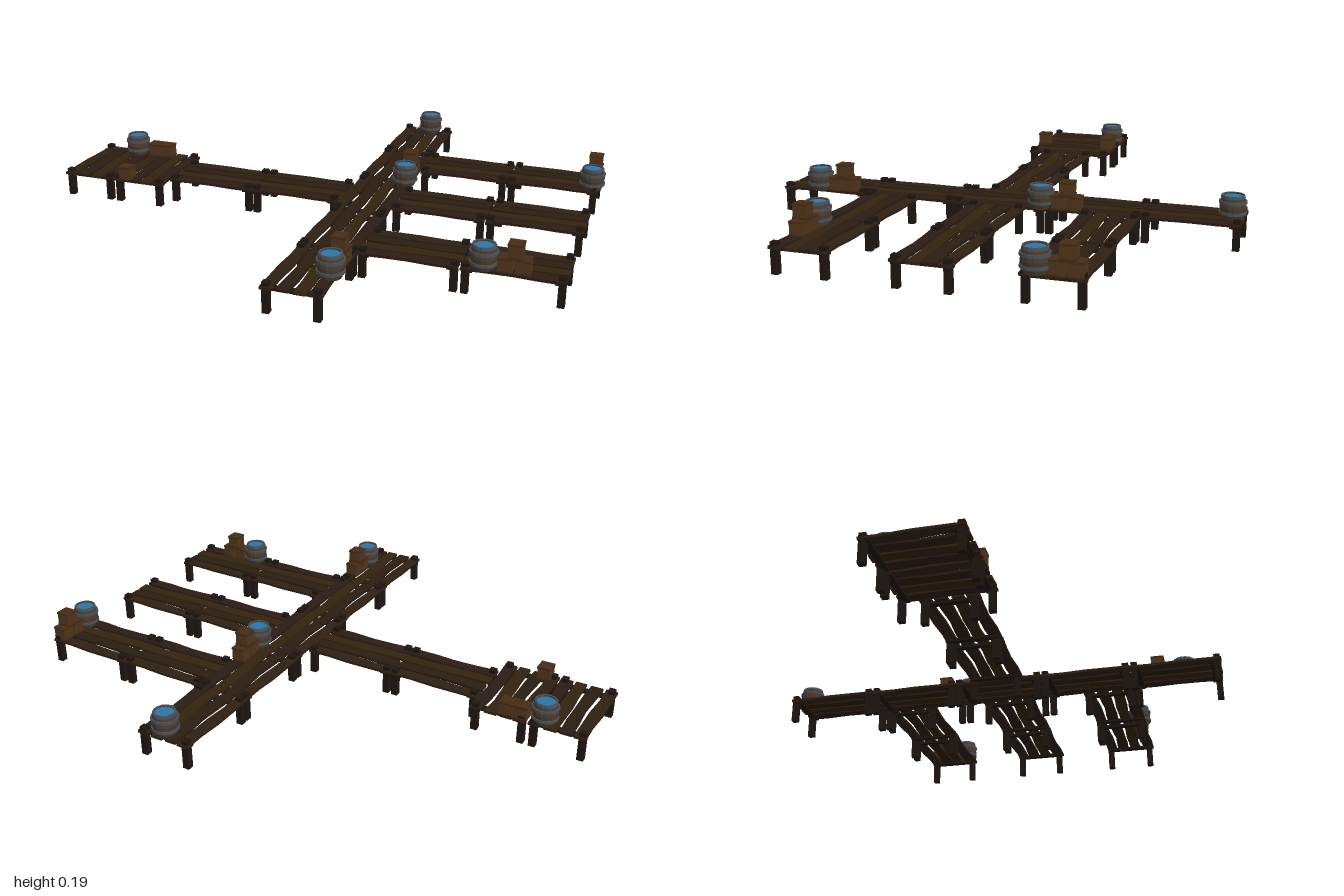
import * as THREE from 'three';

const mat = (color, extra = {}) => new THREE.MeshStandardMaterial({ color, flatShading: true, ...extra });
const plankMats = [mat(0x2f2012), mat(0x2a1c11), mat(0x33230f), mat(0x2c1c14)];
const postMat = mat(0x1e1611);
const crateMat = mat(0x50351b);
const crateTrimMat = mat(0x452c15);
const staveMat = mat(0x4b3a2b, { side: THREE.DoubleSide });
const bandMat = mat(0x46505a);
const waterMat = mat(0x2b75a6);

function add(parent, name, geometry, material, x = 0, y = 0, z = 0) {
  const mesh = new THREE.Mesh(geometry, material);
  mesh.name = name;
  mesh.position.set(x, y, z);
  parent.add(mesh);
  return mesh;
}

// Plank running along x, with slightly crooked long edges
function plankGeometry(length, width, phase) {
  const g = new THREE.BoxGeometry(length, 0.009, width, 4, 1, 1);
  const p = g.attributes.position;
  for (let i = 0; i < p.count; i++) {
    const t = p.getX(i) / length;
    const side = Math.sign(p.getZ(i));
    p.setZ(i, p.getZ(i) + 0.003 * Math.sin(t * 5 + phase) + side * 0.002 * Math.cos(t * 9 + phase * 2));
  }
  g.computeVertexNormals();
  return g;
}

const planks = [0, 1, 2, 3].map(i => plankGeometry(0.336 - 0.004 * (i % 2), 0.042, i * 1.7));
const postGeo = new THREE.BoxGeometry(0.023, 0.105, 0.023);
const beamGeo = new THREE.BoxGeometry(0.022, 0.01, 0.19);

// One deck section: four planks, two cross beams, four posts
function dockSection(x, z, alongZ) {
  const g = new THREE.Group();
  g.name = 'dockSection';
  planks.forEach((geo, i) => {
    add(g, 'plank', geo, plankMats[i], 0, 0.087, -0.079 + i * 0.0527);
  });
  for (const sx of [-1, 1]) {
    add(g, 'crossBeam', beamGeo, postMat, sx * 0.14, 0.08, 0);
    for (const sz of [-1, 1]) add(g, 'post', postGeo, postMat, sx * 0.152, 0.0525, sz * 0.084);
  }
  g.position.set(x, 0, z);
  if (alongZ) g.rotation.y = Math.PI / 2;
  return g;
}

// Open water barrel with bulging staves and two raised hoops
const staveGeo = new THREE.LatheGeometry([
  [0.001, 0], [0.036, 0], [0.042, 0.02], [0.045, 0.04], [0.042, 0.062],
  [0.037, 0.08], [0.032, 0.08], [0.034, 0.068],
].map(p => new THREE.Vector2(...p)), 14);
const hoopGeo = new THREE.CylinderGeometry(0.047, 0.047, 0.01, 14);
const rimGeo = new THREE.LatheGeometry([
  [0.033, 0.073], [0.041, 0.073], [0.039, 0.082], [0.033, 0.082], [0.033, 0.073],
].map(p => new THREE.Vector2(...p)), 14);
const waterGeo = new THREE.CircleGeometry(0.0345, 14).rotateX(-Math.PI / 2);

function barrel(x, z) {
  const g = new THREE.Group();
  g.name = 'barrel';
  add(g, 'staves', staveGeo, staveMat);
  add(g, 'lowerHoop', hoopGeo, bandMat, 0, 0.022, 0);
  add(g, 'upperHoop', hoopGeo, bandMat, 0, 0.058, 0);
  add(g, 'rim', rimGeo, bandMat);
  add(g, 'water', waterGeo, waterMat, 0, 0.077, 0);
  g.position.set(x, 0.09, z);
  return g;
}

// Crate with thin edge slats
const crateGeo = new THREE.BoxGeometry(0.047, 0.047, 0.047);
const slatGeo = new THREE.BoxGeometry(0.05, 0.007, 0.05);

function crate(x, z, level = 0) {
  const g = new THREE.Group();
  g.name = 'crate';
  add(g, 'crateBody', crateGeo, crateMat, 0, 0.025, 0);
  for (const y of [0.0035, 0.0465]) add(g, 'crateSlat', slatGeo, crateTrimMat, 0, y, 0);
  g.position.set(x, 0.09 + level * 0.05, z);
  return g;
}

// Two crates side by side with a third on top
function crateStack(x, z, alongZ) {
  const g = new THREE.Group();
  g.name = 'crateStack';
  g.add(crate(-0.028, 0), crate(0.028, 0), crate(0.002, 0, 1));
  g.position.set(x, 0, z);
  if (alongZ) g.rotation.y = Math.PI / 2;
  return g;
}

export function createModel() {
  const root = new THREE.Group();
  root.name = 'dock';

  // End platform and the walkway leading to the main pier
  for (const x of [-0.897, -0.687]) root.add(dockSection(x, 0, true));
  for (const x of [-0.415, -0.077]) root.add(dockSection(x, 0, false));

  // Main pier
  for (let i = -2; i <= 2; i++) root.add(dockSection(0.195, i * 0.336, true));

  // Three side jetties
  for (const z of [-0.403, 0, 0.403]) {
    for (const x of [0.463, 0.803]) root.add(dockSection(x, z, false));
  }

  // Barrels
  for (const [x, z] of [[-0.84, -0.13], [0.21, -0.8], [0.275, -0.153], [0.945, -0.345], [0.705, 0.475], [0.275, 0.697]]) {
    root.add(barrel(x, z));
  }

  // Crates
  root.add(crateStack(0.272, -0.245, true));
  root.add(crateStack(0.945, -0.443, true));
  root.add(crateStack(0.272, 0.6, true));
  root.add(crateStack(0.803, 0.472, false));
  root.add(crate(-0.763, -0.14), crate(-0.712, -0.14), crate(-0.742, 0.143));

  return root;
}
